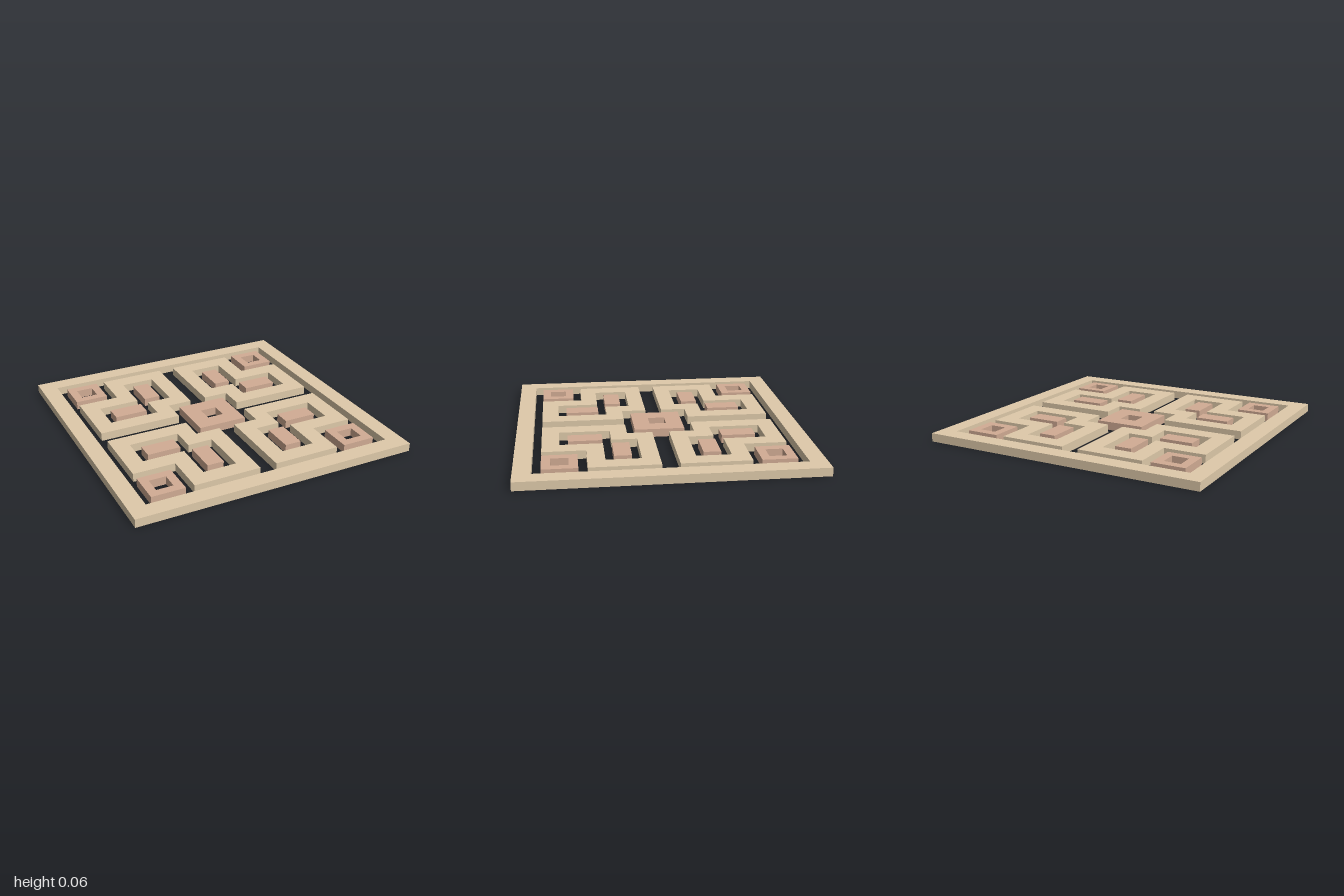
import * as THREE from 'three';

// The whole pattern sits on a 34 x 34 grid of cells
const U = 1 / 17;
const HEIGHT = U;

const sand = new THREE.MeshStandardMaterial({ color: 0xdfcaaa });
const clay = new THREE.MeshStandardMaterial({ color: 0xd2ac94 });

const rect = (x0, z0, x1, z1) => [[x0, z0], [x1, z0], [x1, z1], [x0, z1]];

// Flat slab from an outline (and optional hole) in cells, mirrored by sx, sz
function slab(name, material, outline, hole, sx = 1, sz = 1) {
  const points = (list) => {
    const mirrored = list.map(([x, z]) => new THREE.Vector2(x * U * sx, z * U * sz));
    // A single mirroring flips the winding, so turn it back
    return sx * sz < 0 ? mirrored.reverse() : mirrored;
  };
  const shape = new THREE.Shape(points(outline));
  if (hole) shape.holes.push(new THREE.Path(points(hole)));
  const geometry = new THREE.ExtrudeGeometry(shape, { depth: HEIGHT, bevelEnabled: false });
  geometry.rotateX(Math.PI / 2).translate(0, HEIGHT, 0);
  const mesh = new THREE.Mesh(geometry, material);
  mesh.name = name;
  return mesh;
}

export function createModel() {
  const model = new THREE.Group();
  model.name = 'latticePanel';

  // Outer border and central square ring
  model.add(slab('outerFrame', sand, rect(-17, -17, 17, 17), rect(-15, -15, 15, 15)));
  model.add(slab('centreRing', clay, rect(-3, -3, 3, 3), rect(-1, -1, 1, 1)));

  // Stepped band around each quadrant, notched at the centre and the corner
  const bandOuter = [[1, 4], [4, 4], [4, 1], [14, 1], [14, 9], [9, 9], [9, 14], [1, 14]];
  const bandInner = [[3, 6], [6, 6], [6, 3], [12, 3], [12, 7], [7, 7], [7, 12], [3, 12]];

  for (const sx of [-1, 1]) {
    for (const sz of [-1, 1]) {
      const quadrant = new THREE.Group();
      quadrant.name = `${sz > 0 ? 'front' : 'back'}${sx > 0 ? 'Left' : 'Right'}Quadrant`;
      quadrant.add(
        slab('steppedBand', sand, bandOuter, bandInner, sx, sz),
        slab('crosswiseBar', clay, rect(7, 4, 11, 6), null, sx, sz),
        slab('lengthwiseBar', clay, rect(4, 7, 6, 11), null, sx, sz),
        slab('cornerRing', clay, rect(10, 10, 14, 14), rect(11, 11, 13, 13), sx, sz)
      );
      model.add(quadrant);
    }
  }
  return model;
}
